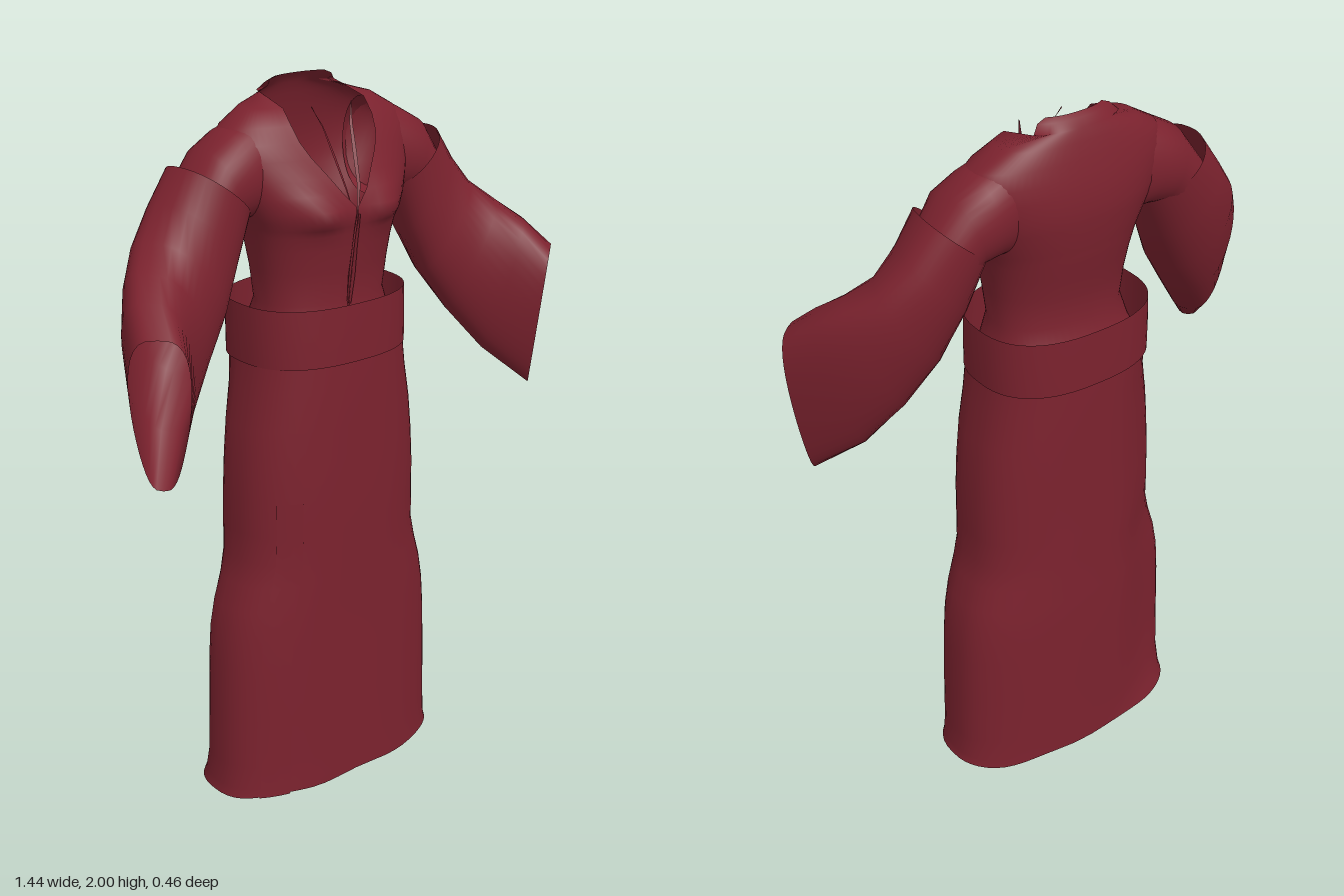
import * as THREE from 'three';

const cloth = new THREE.MeshStandardMaterial({ color: 0x7b222e, side: THREE.DoubleSide });
cloth.name = 'crimson cloth';

// Skin a smooth surface over rows of points; closed joins each row's ends
function loft(name, rows, closed) {
  const n = rows[0].length, index = [];
  for (let r = 0; r < rows.length - 1; r++) {
    for (let i = 0; i < (closed ? n : n - 1); i++) {
      const j = (i + 1) % n, a = r * n + i, b = r * n + j;
      index.push(a, b, a + n, b, b + n, a + n);
    }
  }
  const g = new THREE.BufferGeometry();
  g.setAttribute('position', new THREE.Float32BufferAttribute(rows.flat(2), 3));
  g.setIndex(index);
  g.computeVertexNormals();
  const mesh = new THREE.Mesh(g, cloth);
  mesh.name = name;
  return mesh;
}

const power = (v, e) => Math.sign(v) * Math.abs(v) ** e;

// Horizontal rounded ring: half width a, front zf, back zb; tuck pulls in the back right corner
function ring(y, a, zf, zb, tuck = 0, e = 0.8, n = 56) {
  return Array.from({ length: n }, (_, i) => {
    const t = (i / n) * Math.PI * 2, s = Math.sin(t), c = Math.cos(t);
    const pull = s < 0 && c < 0 ? tuck * 4 * s * s * c * c : 0;
    return [a * power(s, e) + pull, y, (zf + zb) / 2 + (zf - zb) / 2 * power(c, e) + pull];
  });
}

// Sleeve ring from its top and bottom points, sideways half width, taper and roundness
function sleeveRing([top, bottom, side, taper, e], s, n = 36) {
  return Array.from({ length: n }, (_, i) => {
    const t = (i / n) * Math.PI * 2, c = Math.cos(t);
    const w = power(Math.sin(t), e) * (1 + taper * c);
    const p = top.map((v, k) => (v + bottom[k]) / 2 + (v - bottom[k]) / 2 * c + side[k] * w);
    return [p[0] * s, p[1], p[2]];
  });
}

// Bodice rows: y, half width, front z, back z, half width of the front opening
const bodice = [
  [1.28, 0.243, 0.138, -0.218, 0.002],
  [1.36, 0.21, 0.112, -0.18, 0.002],
  [1.43, 0.19, 0.095, -0.155, 0.003],
  [1.52, 0.2, 0.106, -0.165, 0.003],
  [1.58, 0.21, 0.115, -0.177, 0.002],
  [1.62, 0.22, 0.122, -0.185, 0.002],
  [1.64, 0.227, 0.126, -0.188, 0.002],
  [1.66, 0.236, 0.13, -0.191, 0.002],
  [1.69, 0.25, 0.13, -0.196, 0.003],
  [1.73, 0.268, 0.118, -0.2, 0.04],
  [1.77, 0.285, 0.102, -0.203, 0.068],
  [1.82, 0.298, 0.08, -0.198, 0.105],
  [1.86, 0.3, 0.06, -0.19, 0.126],
  [1.9, 0.272, 0.037, -0.18, 0.134],
  [1.94, 0.205, 0.01, -0.168, 0.134],
  [1.97, 0.15, 0.0, -0.155, 0.13],
  [1.99, 0.125, 0.0, -0.142, 0.11],
  [2.0, 0.11, 0.0, -0.128, 0.085],
];

function bodiceRow([y, a, zf, zb, gap], n = 60) {
  const e = 0.85, open = Math.asin((gap / a) ** (1 / e));
  // the topmost rows only wrap the back of the neck
  const start = y > 1.95 ? Math.PI - open : open;
  return Array.from({ length: n + 1 }, (_, i) => {
    const t = start + (i / n) * (2 * Math.PI - 2 * start);
    const x = a * power(Math.sin(t), e);
    let z = (zf + zb) / 2 + (zf - zb) / 2 * power(Math.cos(t), e);
    // fullness on each side of the chest, falling off faster below
    if (Math.cos(t) > 0) {
      const dy = (y - 1.67) / (y < 1.67 ? 0.03 : 0.06);
      z += 0.027 * Math.exp(-(((Math.abs(x) - 0.11) / 0.06) ** 2) - dy * dy);
    }
    return [x, y, z];
  });
}

// Skirt rows: y, half width, front z, back z, tuck
const skirt = [
  [1.3, 0.246, 0.142, -0.222, 0], [1.2, 0.258, 0.145, -0.224, 0.008], [1.1, 0.277, 0.146, -0.224, 0.012],
  [1.0, 0.288, 0.147, -0.224, 0.014], [0.9, 0.294, 0.148, -0.224, 0.014], [0.8, 0.296, 0.147, -0.225, 0.014],
  [0.72, 0.298, 0.146, -0.226, 0.018], [0.65, 0.315, 0.145, -0.226, 0.024], [0.58, 0.338, 0.144, -0.228, 0.028],
  [0.5, 0.354, 0.143, -0.229, 0.03], [0.4, 0.362, 0.143, -0.228, 0.03], [0.25, 0.367, 0.143, -0.226, 0.028],
  [0.1, 0.37, 0.143, -0.224, 0.02], [0.03, 0.374, 0.144, -0.224, 0.006], [0.004, 0.381, 0.144, -0.224, 0],
];

// Sleeve sections: top, bottom, sideways half width, taper towards the bottom, roundness
const innerSleeve = [
  [[0.2, 1.925, -0.07], [0.19, 1.66, -0.06], [0, 0, -0.1], 0, 0.85],
  [[0.28, 1.895, -0.07], [0.23, 1.665, -0.06], [0, 0, -0.112], 0, 0.85],
  [[0.35, 1.855, -0.065], [0.28, 1.66, -0.06], [0, 0, -0.11], 0, 0.85],
  [[0.42, 1.76, -0.06], [0.33, 1.6, -0.06], [0.01, 0, -0.1], 0, 0.85],
];
const wideSleeve = [
  [[0.42, 1.82, -0.06], [0.25, 1.675, -0.06], [0.015, 0, -0.112], 0, 0.85],
  [[0.478, 1.735, -0.05], [0.305, 1.545, -0.058], [0.03, 0, -0.11], 0, 0.82],
  [[0.535, 1.655, -0.02], [0.37, 1.415, -0.045], [0.05, 0, -0.103], 0, 0.78],
  [[0.59, 1.6, 0.04], [0.455, 1.295, -0.015], [0.058, 0, -0.088], 0, 0.74],
  [[0.635, 1.55, 0.11], [0.545, 1.175, 0.045], [0.058, 0, -0.07], 0.1, 0.7],
  [[0.668, 1.482, 0.19], [0.642, 1.072, 0.15], [0.054, 0, -0.048], 0.3, 0.62],
];

export function createModel() {
  const robe = new THREE.Group();
  robe.name = 'robe';

  robe.add(loft('bodice', bodice.map((r) => bodiceRow(r)), false));
  robe.add(loft('skirt', skirt.map(([y, a, zf, zb, tuck]) => {
    const pts = ring(y, a, zf, zb, tuck);
    // gently uneven hem
    if (y < 0.02) pts.forEach((p) => { p[1] += 0.004 * Math.sin(p[0] * 22 + p[2] * 9); });
    return pts;
  }), true));
  robe.add(loft('waistband', [
    ring(1.275, 0.252, 0.148, -0.232), ring(1.35, 0.252, 0.148, -0.233), ring(1.435, 0.25, 0.146, -0.232),
  ], true));

  // Overlapping panel edge along the right of the skirt front
  robe.add(loft('skirtOverlap', skirt.filter(([y]) => y < 0.95).map(([y, a, zf, zb]) => {
    const pts = ring(y, a + 0.003, zf + 0.003, zb);
    return [5, 6, 7, 8].map((i) => [-pts[i][0], y, pts[i][2]]);
  }), false));

  for (const s of [1, -1]) {
    const side = s > 0 ? 'left' : 'right';
    robe.add(loft(side + 'InnerSleeve', innerSleeve.map((r) => sleeveRing(r, s)), true));
    robe.add(loft(side + 'WideSleeve', wideSleeve.map((r) => sleeveRing(r, s)), true));

    // Slender loose edge curling up inside the neckline
    const edge = [[0.004, 1.66, 0.125], [0.022, 1.74, 0.108], [0.035, 1.82, 0.075],
      [0.047, 1.89, 0.045], [0.066, 1.94, 0.022]];
    robe.add(loft(side + 'LapelEdge', edge.map(([x, y, z], i) => {
      const w = 0.005 * Math.sin((i + 0.3) / 4.3 * Math.PI);
      return [[s * (x - w), y, z], [s * (x + w), y, z + 0.004]];
    }), false));

    // Narrow folded edge beside the front opening
    const fold = [[1.42, 0.096, 0.004], [1.5, 0.106, 0.009], [1.58, 0.118, 0.006], [1.67, 0.134, 0.003]];
    robe.add(loft(side + 'FrontFold', fold.map(([y, z, w]) => [
      [s * 0.003, y, z - 0.004], [s * (0.003 + w), y, z + 0.003],
    ]), false));
  }
  return robe;
}
